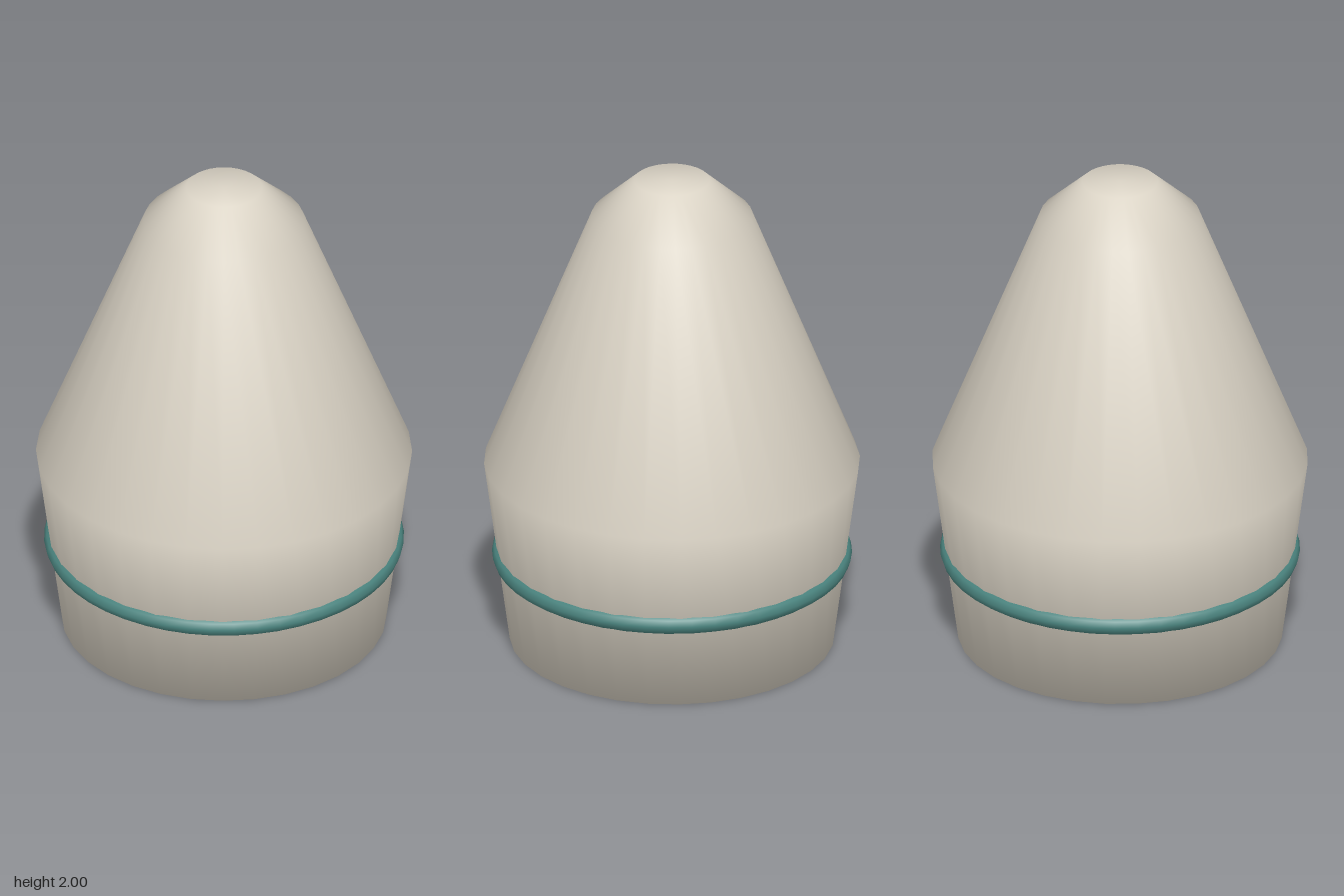
import * as THREE from 'three';

export function createModel() {
  const model = new THREE.Group();

  const shell = new THREE.MeshStandardMaterial({ color: 0xdad3c5 });
  shell.name = 'warm ivory';
  const teal = new THREE.MeshStandardMaterial({ color: 0x4b8580 });
  teal.name = 'teal';

  // Closed body of revolution: base, flared skirt, tapering cone, blunt tip
  const profile = [
    [0, 0], [0.645, 0], [0.747, 0.77], [0.32, 1.845], [0.15, 2], [0, 2],
  ].map(([r, y]) => new THREE.Vector2(r, y));
  const body = new THREE.Mesh(new THREE.LatheGeometry(profile, 32), shell);
  body.name = 'body';
  model.add(body);

  // Raised band around the skirt
  const bandGeometry = new THREE.TorusGeometry(0.672, 0.043, 10, 48);
  bandGeometry.rotateX(Math.PI / 2);
  const band = new THREE.Mesh(bandGeometry, teal);
  band.name = 'band';
  band.position.y = 0.37;
  model.add(band);

  return model;
}
